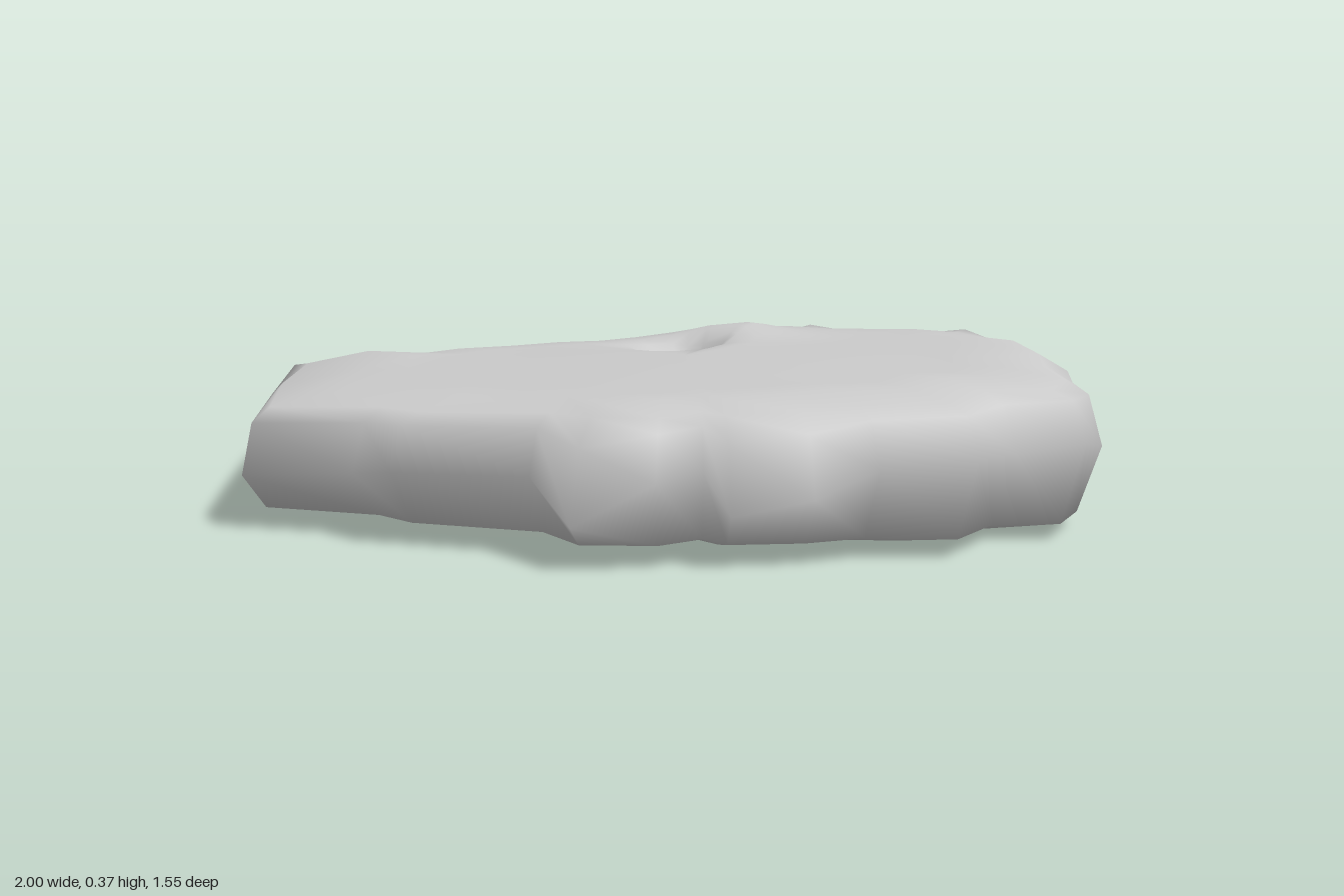
import * as THREE from 'three';

// Rim of the slab, anticlockwise from the left tip: x, z, height of the widest line
const rim = [
  [1, -0.05, 0.15], [0.96, -0.35, 0.15], [0.88, -0.42, 0.25], [0.83, -0.58, 0.3],
  [0.66, -0.63, 0.25], [0.55, -0.66, 0.27], [0.43, -0.78, 0.31], [0.34, -0.71, 0.27],
  [0.17, -0.75, 0.25], [0.07, -0.68, 0.23], [0, -0.62, 0.21], [-0.12, -0.59, 0.2],
  [-0.24, -0.55, 0.2], [-0.38, -0.58, 0.2], [-0.53, -0.55, 0.17], [-0.71, -0.55, 0.15],
  [-0.82, -0.46, 0.24], [-1, -0.46, 0.22], [-1, -0.1, 0.15], [-1, 0.3, 0.13],
  [-0.75, 0.4, 0.15], [-0.66, 0.5, 0.17], [-0.37, 0.62, 0.18], [-0.29, 0.75, 0.1],
  [-0.12, 0.77, 0.19], [-0.02, 0.71, 0.2], [0.03, 0.77, 0.12], [0.2, 0.76, 0.15],
  [0.34, 0.71, 0.2], [0.54, 0.72, 0.22], [0.66, 0.56, 0.2], [0.81, 0.56, 0.22],
  [0.89, 0.42, 0.19], [0.93, 0.2, 0.17],
];

const bump = (x, z, cx, cz, r) => Math.exp(-((x - cx) ** 2 + (z - cz) ** 2) / (r * r));
const bottom = (x, z) => 0.025 - 0.02 * bump(x, z, 0.7, 0.2, 0.55);

// Gently sloping top with a low ridge and a small pit
function top(x, z) {
  return 0.328 + 0.03 * x + 0.02 * bump(x, z, 0.1, 0, 0.6)
    + 0.035 * bump(x, z, 0.17, -0.4, 0.15) + 0.02 * bump(x, z, -0.82, -0.3, 0.12)
    - 0.11 * bump(x, z, 0.01, -0.26, 0.075);
}

// How far the upper edge leans in: wide on the left side and front spur, steep at the right end
const upperInset = (x, z) => 0.07 + 0.05 * bump(x, z, 1, 0, 0.25) + 0.05 * bump(x, z, -0.27, 0.77, 0.1)
  - 0.04 * bump(x, z, -1, -0.1, 0.4) - 0.04 * bump(x, z, 0.85, -0.5, 0.12);

// The underside is cut back most below the rear bulge
const lowerInset = (x, z) => 0.05 + 0.13 * bump(x, z, 0.45, -0.75, 0.35);

function pullIn([x, z], distance) {
  const s = 1 - distance / Math.hypot(x, z);
  return [x * s, z * s];
}

// Rings from the underside, over the widest line, to the top
function makeRings() {
  const scaled = (s, height) => rim.map(([x, z]) => [x * s, height(x * s, z * s), z * s]);
  const lowerEdge = rim.map((p) => {
    const [x, z] = pullIn(p, lowerInset(p[0], p[1]));
    return [x, bottom(x, z) + 0.03, z];
  });
  const widest = rim.map(([x, z, y]) => [x, y, z]);
  const shoulder = rim.map((p) => {
    const [x, z] = pullIn(p, upperInset(p[0], p[1]) * 0.45);
    return [x, THREE.MathUtils.lerp(p[2], top(x, z), 0.68), z];
  });
  const upperEdge = rim.map((p) => {
    const [x, z] = pullIn(p, upperInset(p[0], p[1]) + 0.01);
    return [x, top(x, z) - 0.022, z];
  });
  return [
    ...[0, 0.4, 0.76].map((s) => scaled(s, bottom)),
    lowerEdge, widest, shoulder, upperEdge,
    ...[0.78, 0.66, 0.58, 0.5, 0.43, 0.36, 0.28, 0.15, 0].map((s) => scaled(s, top)),
  ];
}

// Joins the rings into one smooth closed skin; the first and last ring are single points
function skin(rings) {
  const n = rim.length;
  const index = [];
  for (let i = 0; i < rings.length - 1; i++) {
    for (let j = 0; j < n; j++) {
      const a = i * n + j, b = i * n + (j + 1) % n;
      if (i > 0) index.push(a, b, a + n);
      if (i < rings.length - 2) index.push(b, b + n, a + n);
    }
  }
  const geometry = new THREE.BufferGeometry();
  geometry.setAttribute('position', new THREE.Float32BufferAttribute(rings.flat(2), 3));
  geometry.setIndex(index);
  geometry.computeVertexNormals();
  return geometry;
}

export function createModel() {
  const group = new THREE.Group();
  group.name = 'rock';
  const slab = new THREE.Mesh(skin(makeRings()), new THREE.MeshStandardMaterial({ color: 0xcccccc }));
  slab.name = 'stoneSlab';
  group.add(slab);
  return group;
}
